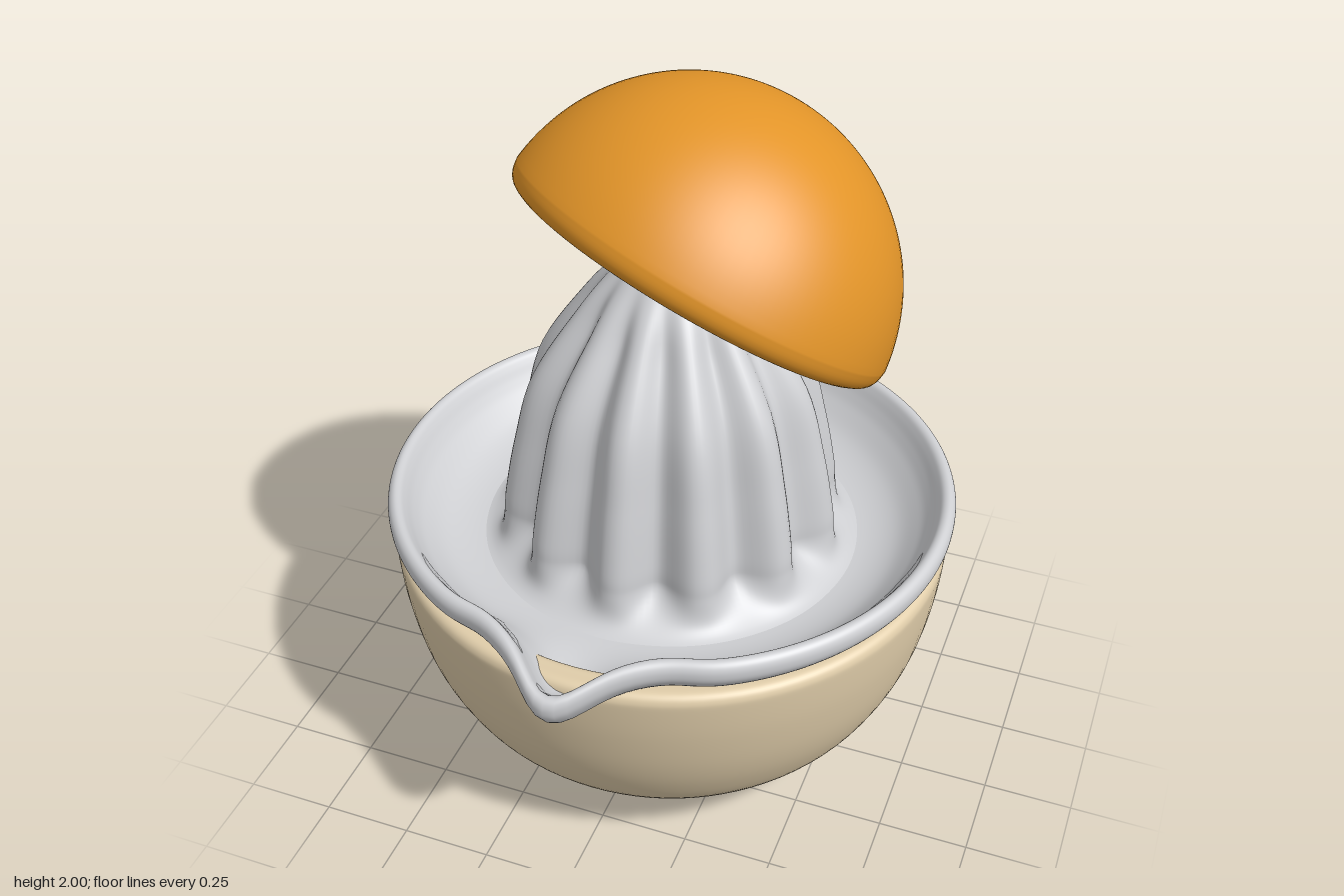
import * as THREE from 'three';
import { mergeVertices } from 'three/addons/utils/BufferGeometryUtils.js';

const mat = (name, color) => {
  const m = new THREE.MeshStandardMaterial({ color });
  m.name = name;
  return m;
};

const points = (list) => list.map(([r, y]) => new THREE.Vector2(r, y));
const smooth = (list, n) => new THREE.SplineCurve(points(list)).getPoints(n)
  .map((p) => new THREE.Vector2(Math.max(p.x, 0), p.y));

// Revolve a profile (bottom outwards and up), then optionally move each vertex by a rule
function revolve(profile, segments, rule) {
  const lathe = new THREE.LatheGeometry(profile, segments, Math.PI);
  if (!rule) return lathe;
  lathe.deleteAttribute('normal');
  lathe.deleteAttribute('uv');
  const geo = mergeVertices(lathe, 1e-5);
  const pos = geo.attributes.position;
  const v = new THREE.Vector3();
  for (let i = 0; i < pos.count; i++) {
    rule(v.fromBufferAttribute(pos, i));
    pos.setXYZ(i, v.x, v.y, v.z);
  }
  geo.computeVertexNormals();
  return geo;
}

export function createModel() {
  const cream = mat('cream bowl', 0xe0cdaa);
  const grey = mat('grey plastic', 0xcfd0d3);
  const orange = mat('orange rind', 0xe29428);
  const pithMat = mat('pale pith', 0xf0e2c4);
  const fleshMat = mat('orange flesh', 0xecae5a);

  const model = new THREE.Group();
  model.name = 'citrusJuicer';
  const add = (parent, name, geo, material) => {
    const mesh = new THREE.Mesh(geo, material);
    mesh.name = name;
    parent.add(mesh);
    return mesh;
  };

  const juicer = new THREE.Group();
  juicer.name = 'juicer';
  juicer.position.z = -0.06;
  model.add(juicer);

  // Bowl: flat foot, round belly, rounded lip and hollow inside
  const bowl = [
    new THREE.Vector2(0, 0),
    ...smooth([[0.24, 0], [0.34, 0.012], [0.45, 0.046], [0.55, 0.105], [0.645, 0.205], [0.705, 0.31],
      [0.745, 0.42], [0.772, 0.55], [0.784, 0.66], [0.782, 0.695], [0.765, 0.712], [0.735, 0.713],
      [0.71, 0.71], [0.697, 0.69], [0.69, 0.6], [0.63, 0.4], [0.45, 0.18], [0, 0.1]], 90),
  ];
  add(juicer, 'bowl', revolve(bowl, 96), cream);

  // Juice dish: rolled rim, sunken floor and a pouring spout pulled out at the front
  const dish = smooth([[0.45, 0.635], [0.62, 0.66], [0.69, 0.712], [0.74, 0.715], [0.77, 0.738],
    [0.795, 0.772], [0.8, 0.8], [0.794, 0.82], [0.78, 0.83], [0.764, 0.826], [0.75, 0.808],
    [0.73, 0.775], [0.7, 0.738], [0.64, 0.69], [0.56, 0.665], [0.45, 0.66]], 80);
  add(juicer, 'dish', revolve(dish, 180, (v) => {
    if (v.z <= 0) return;
    const r = Math.hypot(v.x, v.z);
    const w = THREE.MathUtils.smoothstep(r, 0.52, 0.77);
    const across = (v.x / r) * 0.8;
    const pull = 0.115 * Math.exp(-((across / 0.12) ** 2))
      - 0.015 * Math.exp(-(((Math.abs(across) - 0.27) / 0.08) ** 2));
    v.y -= 0.06 * w * Math.exp(-((across / 0.12) ** 2));
    v.z += pull * w;
  }), grey);

  // Reamer: domed cone with twelve ribs that fade out at the floor and the tip
  const cone = smooth([[0.56, 0.655], [0.515, 0.67], [0.488, 0.7], [0.477, 0.76], [0.47, 0.83],
    [0.437, 1.0], [0.38, 1.2], [0.25, 1.4], [0.165, 1.5], [0.095, 1.56], [0.04, 1.585], [0, 1.59]], 64);
  add(juicer, 'reamer', revolve(cone, 192, (v) => {
    const fade = THREE.MathUtils.smoothstep(v.y, 0.655, 0.77)
      * (1 - THREE.MathUtils.smoothstep(v.y, 1.35, 1.58));
    const groove = (0.5 - 0.5 * Math.cos(12 * Math.atan2(v.x, v.z))) ** 1.2;
    const k = 1 - 0.15 * fade * groove;
    v.x *= k;
    v.z *= k;
  }), grey);

  // Half orange tilted on top of the reamer
  const fruit = new THREE.Group();
  fruit.name = 'halfOrange';
  fruit.position.set(0.037, 1.44, -0.085);
  fruit.quaternion.setFromUnitVectors(
    new THREE.Vector3(0, 1, 0), new THREE.Vector3(0.36, 0.82, -0.45).normalize());
  model.add(fruit);

  const R = 0.56;
  const rind = smooth([[0.522, 0.018], [0.54, 0.029], [0.551, 0.05], [0.5547, 0.077]], 10);
  const start = Math.asin(0.077 / R);
  for (let i = 1; i <= 40; i++) {
    const a = start + (Math.PI / 2 - start) * (i / 40);
    rind.push(new THREE.Vector2(i === 40 ? 0 : R * Math.cos(a), R * Math.sin(a)));
  }
  add(fruit, 'rind', revolve(rind, 96), orange);
  add(fruit, 'pith', revolve(smooth([[0.495, 0.026], [0.5, 0.018], [0.51, 0.015], [0.522, 0.018]], 8), 96), pithMat);
  add(fruit, 'flesh', revolve(points([[0, 0.024], [0.498, 0.024]]), 96), fleshMat);

  return model;
}
